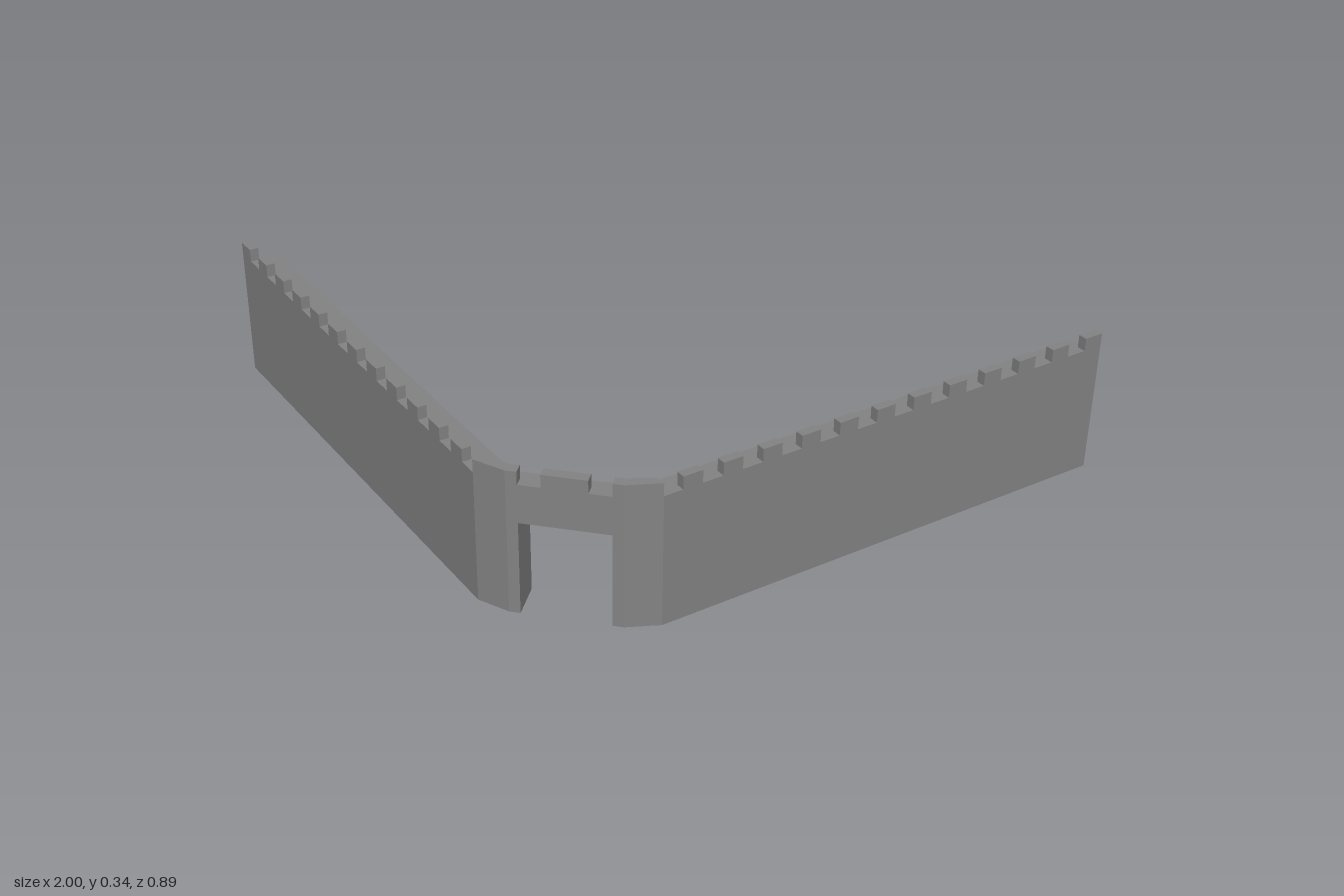
import * as THREE from 'three';

const material = new THREE.MeshStandardMaterial({ color: 0x838383, flatShading: true });

const WALK = 0.285, SILL = 0.31, TOP = 0.34; // walkway, parapet and merlon heights
const GATE_X = 0.096, GATE_TOP = 0.22;
const FRONT = 0.447, BACK = 0.36, LIP = 0.422; // front face, rear face, parapet rear face

// Upright slab from a plan outline of [x, z] points
function slab(name, plan, y0, y1) {
  const shape = new THREE.Shape(plan.map(([x, z]) => new THREE.Vector2(x, -z)));
  const geometry = new THREE.ExtrudeGeometry(shape, { depth: y1 - y0, bevelEnabled: false });
  geometry.rotateX(-Math.PI / 2).translate(0, y0, 0);
  const mesh = new THREE.Mesh(geometry, material);
  mesh.name = name;
  return mesh;
}

export function createModel() {
  const group = new THREE.Group();
  group.name = 'gateWall';

  // Plan corners of the left half: outer face, parapet rear and wall rear
  const outer = [[0.12, FRONT], [0.193, 0.422], [1, -0.385]];
  const lip = [[0.985, -0.4], [0.178, 0.407], [0.115, LIP]];
  const rear = [[0.938, -FRONT], [0.131, BACK]];

  // Lintel and parapet over the gate
  const strip = (half, z0, z1) => [[-half, z0], [half, z0], [half, z1], [-half, z1]];
  group.add(slab('gateLintel', strip(GATE_X, FRONT, BACK), GATE_TOP, WALK));
  group.add(slab('gateParapet', strip(GATE_X, FRONT, LIP), WALK, SILL));
  group.add(slab('gateMerlon', strip(0.048, FRONT, LIP), SILL, TOP));

  for (const [side, s] of [['left', 1], ['right', -1]]) {
    const add = (name, plan, y0, y1) =>
      group.add(slab(side + name, plan.map(([x, z]) => [s * x, z]), y0, y1));

    // Angled wing with its gate jamb, and the parapet along its outer edge
    add('Wall', [[GATE_X, FRONT], ...outer, ...rear, [GATE_X, BACK]], 0, WALK);
    add('Parapet', [[GATE_X, FRONT], ...outer, ...lip, [GATE_X, LIP]], WALK, SILL);

    // Merlon wrapping the bevelled corner
    add('CornerMerlon', [[GATE_X, FRONT], outer[0], outer[1], lip[1], lip[2], [GATE_X, LIP]], SILL, TOP);

    // Evenly spaced merlons along the wing
    const count = 12, width = 0.033, pitch = 0.0675;
    for (let i = 0; i < count; i++) {
      const x1 = 1 - i * pitch, z1 = -0.385 + i * pitch;
      const x0 = x1 - width, z0 = z1 + width;
      add('Merlon', [[x0, z0], [x1, z1], [x1 - 0.015, z1 - 0.015], [x0 - 0.015, z0 - 0.015]], SILL, TOP);
    }
  }
  return group;
}
